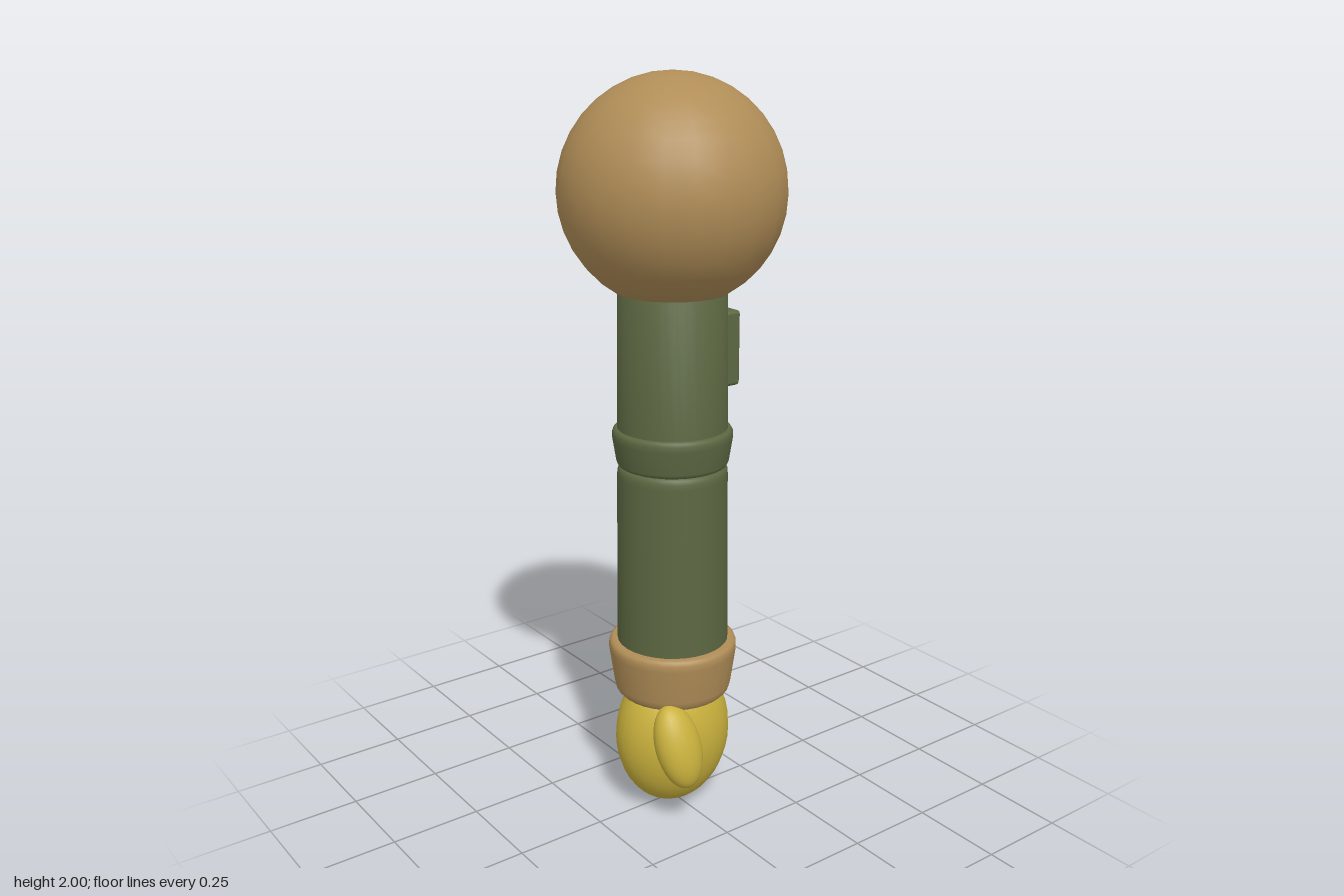
import * as THREE from 'three';
import { RoundedBoxGeometry } from 'three/addons/geometries/RoundedBoxGeometry.js';

const material = (name, color) => {
  const m = new THREE.MeshStandardMaterial({ color });
  m.name = name;
  return m;
};

export function createModel() {
  const tan = material('tan', 0xb08d57);
  const green = material('olive green', 0x5c6842);
  const yellow = material('mustard yellow', 0xc9b13d);
  const model = new THREE.Group();
  model.name = 'arm';

  const add = (name, geometry, mat, x = 0, y = 0, z = 0) => {
    const mesh = new THREE.Mesh(geometry, mat);
    mesh.name = name;
    mesh.position.set(x, y, z);
    model.add(mesh);
    return mesh;
  };
  // Turned solid; profile is [radius, height] from bottom to top
  const turned = (name, profile, mat) =>
    add(name, new THREE.LatheGeometry(profile.map(([r, y]) => new THREE.Vector2(r, y)), 32), mat);

  // Shoulder ball
  add('shoulderBall', new THREE.SphereGeometry(0.29, 22, 18), tan, 0, 1.71, 0);

  // Sleeve: upper part, elbow band, lower part
  turned('upperSleeve', [[0, 1.02], [0.147, 1.02], [0.147, 1.03], [0.14, 1.54], [0, 1.54]], green);
  turned('elbowBand', [[0, 1.0], [0.138, 1.0], [0.145, 1.003], [0.149, 1.012], [0.159, 1.075],
    [0.159, 1.09], [0.155, 1.098], [0.148, 1.102], [0, 1.102]], green);
  turned('lowerSleeve', [[0, 0.44], [0.152, 0.44], [0.152, 0.46], [0.147, 0.97], [0.146, 0.985],
    [0.142, 0.995], [0.134, 1.0], [0, 1.0]], green);

  // Cuff flaring upwards
  turned('cuff', [[0, 0.345], [0.138, 0.345], [0.149, 0.347], [0.157, 0.356], [0.161, 0.372], [0.175, 0.47],
    [0.175, 0.487], [0.171, 0.497], [0.162, 0.501], [0, 0.501]], tan);

  // Pocket on the left side of the upper sleeve
  add('pocket', new RoundedBoxGeometry(0.05, 0.2, 0.135, 3, 0.01), green, 0.147, 1.3, 0);

  // Mitten and thumb
  const hand = add('hand', new THREE.SphereGeometry(1, 28, 20), yellow, 0, 0.212, 0);
  hand.scale.set(0.169, 0.21, 0.138);
  const thumb = add('thumb', new THREE.SphereGeometry(1, 24, 18), yellow, -0.09, 0.252, 0.147);
  thumb.scale.set(0.066, 0.119, 0.053);
  thumb.rotation.set(-0.3, 0, 0.1);

  return model;
}
